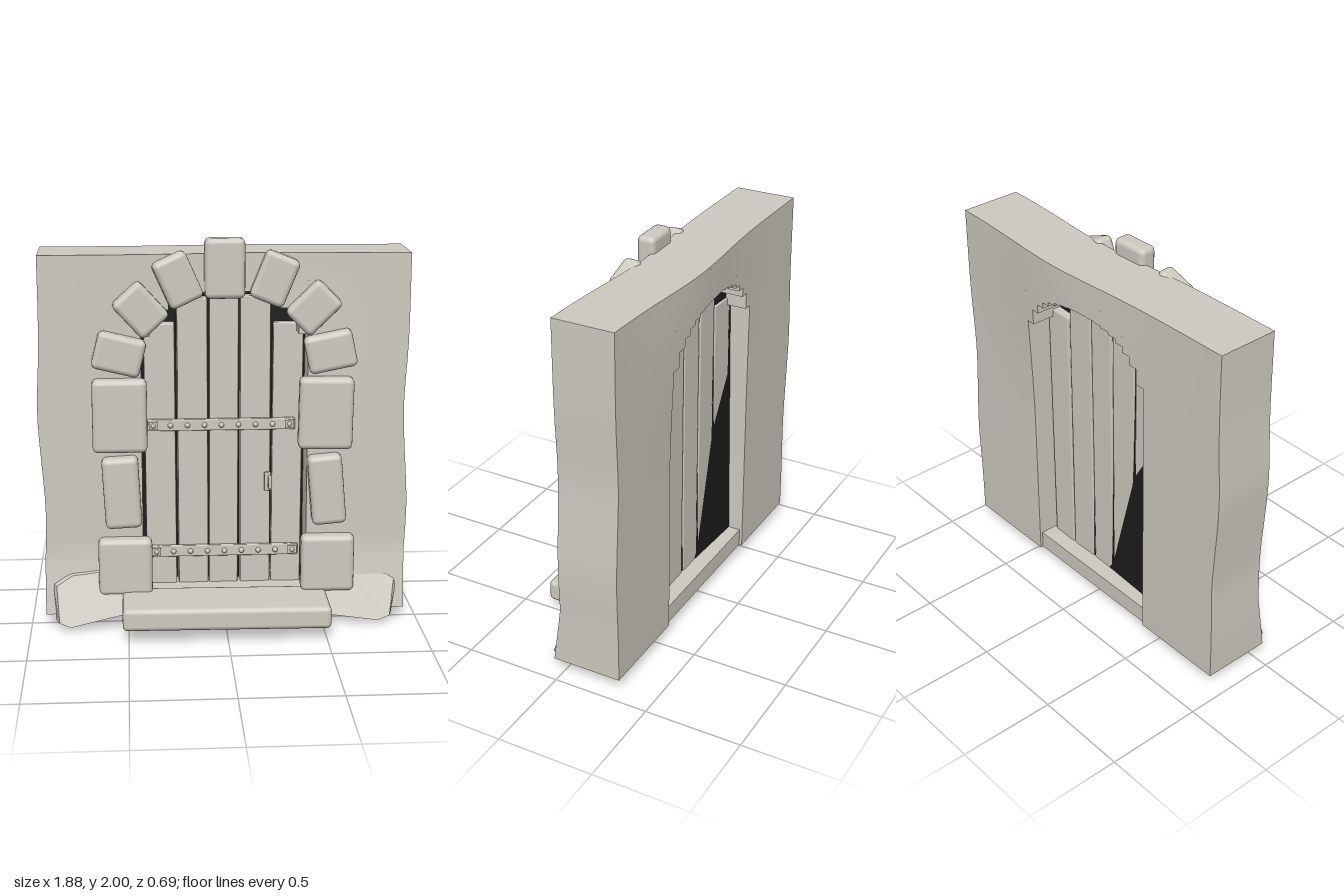
import * as THREE from 'three';
import { RoundedBoxGeometry } from 'three/addons/geometries/RoundedBoxGeometry.js';
import { ConvexGeometry } from 'three/addons/geometries/ConvexGeometry.js';

function flat(name, color) {
  const material = new THREE.MeshStandardMaterial({ color });
  material.name = name;
  return material;
}
const stone = flat('warm grey', 0xcdcac0);
const under = flat('underside grey', 0x6c6b67);
const dark = flat('near black', 0x1c1c1c);
// Box sides in order +x, -x, +y, -y, +z, -z
const darkBottom = [stone, stone, stone, under, stone, stone];

const HALF = 0.42;      // half width of the opening
const SPRING = 1.36;    // height where the arch starts
const RISE = 0.375;     // arch height above the spring
const BOTTOM = 0.07, TOP = 1.92;

function add(parent, name, geometry, x, y, z, rotZ = 0, material = stone) {
  const mesh = new THREE.Mesh(geometry, material);
  mesh.name = name;
  mesh.position.set(x, y, z);
  mesh.rotation.z = rotZ;
  parent.add(mesh);
  return mesh;
}

// Gentle bend of the masonry: hollow near the top, flared at the foot, wavy sides
function warp(x, y, z) {
  const high = THREE.MathUtils.smoothstep(y, 0.9, 1.9);
  const bend = -0.038 * Math.exp(-(((x - 0.2) / 0.42) ** 2)) * high;
  const flare = z > -0.15 ? 0.045 * Math.max(0, (0.38 - y) / 0.31) * Math.min(1, Math.abs(x) / 0.5) : 0;
  const sway = Math.abs(x) > 0.6
    ? 0.003 - 0.018 * Math.exp(-(((y - 1.13) / 0.25) ** 2)) + 0.01 * Math.exp(-(((y - 0.6) / 0.2) ** 2)) : 0;
  return [x + sway, y, z + bend + flare];
}

function wallBlock(parent, name, x0, x1, y0, y1, material) {
  const w = x1 - x0, h = y1 - y0;
  const g = new THREE.BoxGeometry(w, h, 0.32, Math.ceil(w / 0.1), Math.ceil(h / 0.08), 1);
  g.translate((x0 + x1) / 2, (y0 + y1) / 2, -0.155);
  const p = g.attributes.position;
  for (let i = 0; i < p.count; i++) p.setXYZ(i, ...warp(p.getX(i), p.getY(i), p.getZ(i)));
  g.computeVertexNormals();
  add(parent, name, g, 0, 0, 0, 0, material);
}

// Wall with a stepped arch opening
function buildWall() {
  const wall = new THREE.Group();
  wall.name = 'wall';
  wallBlock(wall, 'wallPier', -0.927, -HALF, BOTTOM, TOP, darkBottom);
  wallBlock(wall, 'wallPier', HALF, 0.927, BOTTOM, TOP, darkBottom);
  const columns = 18, step = 2 * HALF / columns;
  for (let i = 0; i < columns; i++) {
    const x = -HALF + i * step, mid = Math.abs(x + step / 2) / HALF;
    wallBlock(wall, 'wallAboveArch', x, x + step, SPRING + RISE * (1 - mid ** 2.3) ** (1 / 2.3), TOP, stone);
  }
  return wall;
}

// Stones around the opening: x, y, width, height, turn in degrees, z, yaw
function buildSurround() {
  const group = new THREE.Group();
  group.name = 'stoneSurround';
  const stones = [
    [0, 1.85, 0.2, 0.3, 0, 0.0, 0.03],
    [-0.235, 1.795, 0.18, 0.25, 24, 0.01, 0.12], [0.25, 1.795, 0.18, 0.25, -22, -0.005, -0.04],
    [-0.42, 1.65, 0.185, 0.235, 42, 0.025, 0.08], [0.445, 1.65, 0.18, 0.235, -45, 0.01, -0.08],
    [-0.53, 1.43, 0.245, 0.19, -14, 0.03, 0.03], [0.53, 1.43, 0.245, 0.19, 12, 0.02, -0.06],
    [-0.53, 1.115, 0.275, 0.375, 0, 0.03, 0], [0.51, 1.115, 0.275, 0.37, -1, 0.03, 0],
    [-0.525, 0.715, 0.185, 0.37, 3, 0.03, 0], [0.52, 0.715, 0.175, 0.365, 5, 0.03, 0],
    [-0.512, 0.32, 0.275, 0.3, 0, 0.03, 0], [0.528, 0.32, 0.275, 0.3, 0, 0.03, 0],
  ];
  for (const [x, y, w, h, deg, z, yaw] of stones) {
    const block = new RoundedBoxGeometry(w, h, 0.095, 2, 0.028);
    add(group, 'surroundStone', block, x, y, z, deg * Math.PI / 180).rotation.y = yaw;
  }
  return group;
}

// Rough boulder from an outline, its front face leaning back towards the top
function boulder(name, outline, front) {
  const cx = outline.reduce((s, p) => s + p[0], 0) / outline.length;
  const cy = outline.reduce((s, p) => s + p[1], 0) / outline.length;
  const points = [];
  for (const [z, scale, lean] of [[-0.14, 0.8, 0], [-0.05, 0.98, 0], [0.03, 1, 0.1], [front, 0.88, 0.35]])
    for (const [x, y] of outline)
      points.push(new THREE.Vector3(cx + (x - cx) * scale, cy + (y - cy) * scale, z - lean * y));
  const g = new ConvexGeometry(points);
  const n = g.attributes.normal;
  for (let i = 0; i < n.count; i += 3) g.addGroup(i, 3, n.getY(i) < -0.6 ? 1 : 0);
  const mesh = new THREE.Mesh(g, [stone, under]);
  mesh.name = name;
  return mesh;
}

// Planked door with iron straps, rivets and a pull
function buildDoor() {
  const door = new THREE.Group();
  door.name = 'door';
  const planks = [ // left edge, right edge, top, turn
    [-0.402, -0.245, 1.55, 0.003], [-0.235, -0.08, 1.68, 0.002], [-0.071, 0.078, 1.715, -0.002],
    [0.087, 0.243, 1.69, 0.002], [0.254, 0.408, 1.55, -0.004],
  ];
  planks.forEach(([a, b, top, turn], i) => {
    const h = top - 0.15;
    const plank = add(door, 'plank', new RoundedBoxGeometry(b - a, h, 0.085, 1, 0.008),
      (a + b) / 2, 0.15 + h / 2, -0.172, turn);
    plank.rotation.y = (i % 2 ? 1 : -1) * 0.02;
  });

  // Thin dark backing, slightly askew
  const arch = new THREE.Shape();
  arch.moveTo(-0.45, -0.75);
  arch.lineTo(0.45, -0.75);
  arch.lineTo(0.45, 0.5);
  arch.absellipse(0, 0.5, 0.45, 0.38, 0, Math.PI, false);
  const backing = add(door, 'doorBacking', new THREE.ExtrudeGeometry(arch, { depth: 0.009, bevelEnabled: false, curveSegments: 16 }),
    0, 0.9, -0.2, 0, dark);
  backing.rotation.set(0.018, -0.05, 0);

  for (const [y, a, b] of [[1.025, -0.39, 0.37], [0.345, -0.38, 0.39]]) {
    add(door, 'strap', new RoundedBoxGeometry(b - a, 0.06, 0.025, 1, 0.006), (a + b) / 2, y, -0.12);
    for (let i = 0; i < 9; i++) {
      const x = a + 0.03 + (b - a - 0.06) * i / 8;
      if (i % 8 === 0) add(door, 'strapPlate', new THREE.BoxGeometry(0.046, 0.042, 0.012), x, y, -0.105);
      add(door, 'rivet', new THREE.SphereGeometry(0.014, 10, 6), x, y, -0.104);
    }
  }
  add(door, 'handlePlate', new RoundedBoxGeometry(0.035, 0.1, 0.02, 1, 0.006), 0.23, 0.715, -0.122);
  add(door, 'handle', new RoundedBoxGeometry(0.018, 0.07, 0.035, 1, 0.006), 0.24, 0.715, -0.1);
  return door;
}

export function createModel() {
  const model = new THREE.Group();
  model.name = 'archedDoorway';
  model.add(buildWall(), buildSurround(), buildDoor());

  // Threshold and front step
  add(model, 'sill', new THREE.BoxGeometry(2 * HALF, 0.095, 0.34), 0, 0.1175, -0.13, 0, darkBottom);
  add(model, 'frontStep', new RoundedBoxGeometry(1.05, 0.115, 0.34, 2, 0.025), -0.005, 0.13, 0.17, -0.007, darkBottom);

  // Boulders at the foot of the wall
  model.add(
    boulder('footStoneRight', [[-0.89, 0.23], [-0.8, 0.285], [-0.56, 0.31], [-0.46, 0.28], [-0.45, 0.08], [-0.81, 0.005], [-0.875, 0.03]], 0.135),
    boulder('footStoneLeft', [[0.43, 0.21], [0.64, 0.28], [0.86, 0.255], [0.9, 0.22], [0.87, 0.03], [0.8, 0.005], [0.45, 0.05]], 0.115),
  );
  return model;
}
